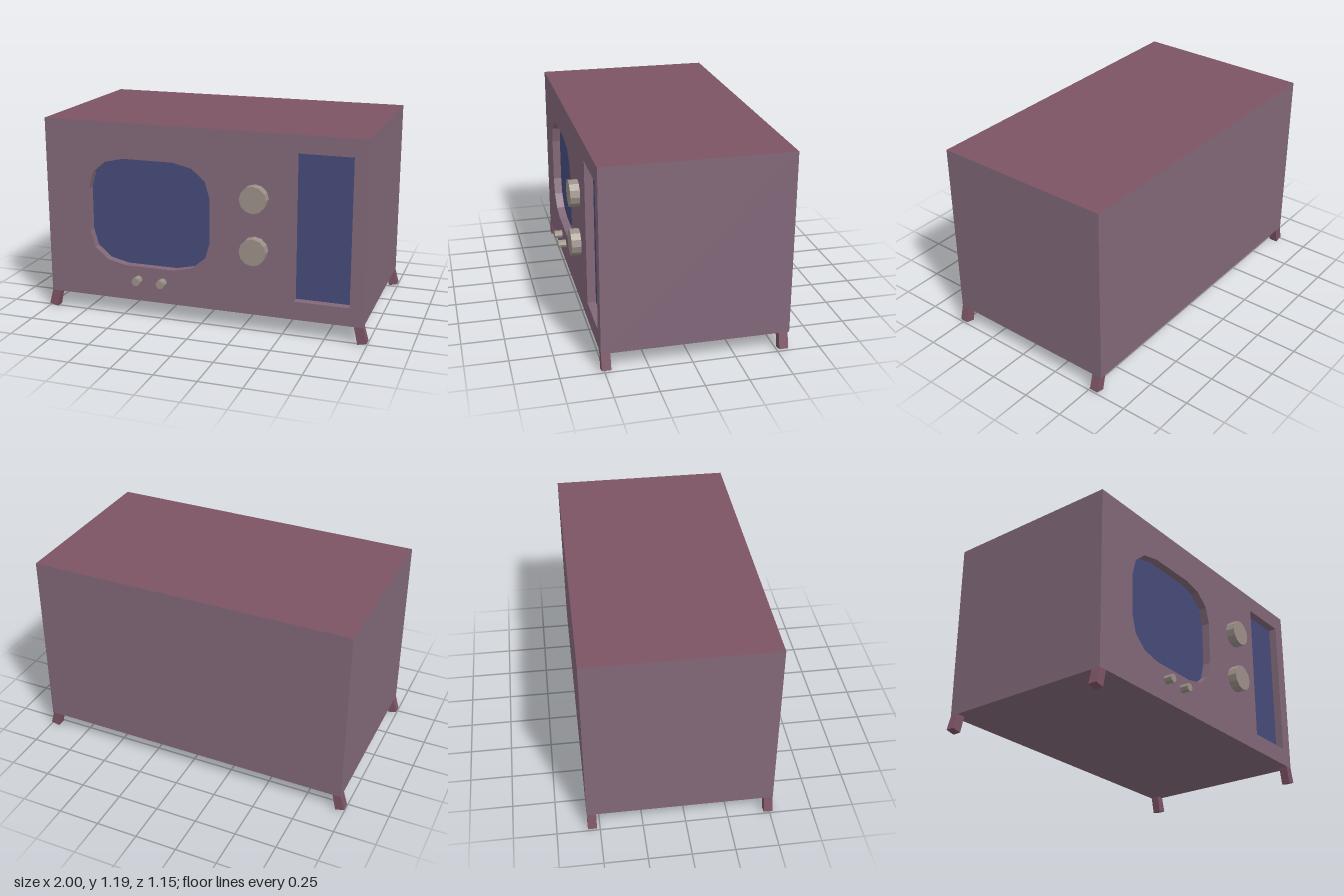
import * as THREE from 'three';

const paint = (color, side = THREE.FrontSide) =>
  new THREE.MeshStandardMaterial({ color, side, flatShading: true });

const W = 0.975, BOTTOM = 0.105, TOP = 1.19, BACK = -0.573, FRONT = 0.517, RECESS = 0.05;

// Keep only the chosen sides of a box (order: +x, -x, +y, -y, +z, -z)
function boxSides(w, h, d, sides) {
  const g = new THREE.BoxGeometry(w, h, d);
  const all = Array.from(g.index.array);
  g.setIndex(sides.flatMap(s => all.slice(s * 6, s * 6 + 6)));
  g.clearGroups();
  return g;
}

// Inner walls of a recess, running back from the outline
function recessWalls(points) {
  const pos = [];
  points.forEach((a, i) => {
    const b = points[(i + 1) % points.length];
    const z = FRONT - RECESS;
    pos.push(a.x, a.y, FRONT, a.x, a.y, z, b.x, b.y, z);
    pos.push(a.x, a.y, FRONT, b.x, b.y, z, b.x, b.y, FRONT);
  });
  const g = new THREE.BufferGeometry();
  g.setAttribute('position', new THREE.Float32BufferAttribute(pos, 3));
  g.computeVertexNormals();
  return g;
}

// Outline around a centre from its upper right quarter, counter-clockwise
function outline(cx, cy, quarter) {
  const rev = [...quarter].reverse();
  const at = (list, sx, sy) => list.map(([x, y]) => new THREE.Vector2(cx + sx * x, cy + sy * y));
  return [...at(quarter, 1, 1), ...at(rev, -1, 1), ...at(quarter, -1, -1), ...at(rev, 1, -1)];
}

export function createModel() {
  const model = new THREE.Group();
  const body = paint(0x826879), wood = paint(0x7c5464);
  const inner = paint(0x826879, THREE.DoubleSide);
  const blue = paint(0x464b7a), knobMat = paint(0x9c9088);

  const add = (name, geometry, material, x = 0, y = 0, z = 0) => {
    const mesh = new THREE.Mesh(geometry, material);
    mesh.name = name;
    mesh.position.set(x, y, z);
    model.add(mesh);
    return mesh;
  };

  // Cabinet: sides, underside and back, with a darker top
  const size = [2 * W, TOP - BOTTOM, FRONT - BACK];
  const centre = [0, (TOP + BOTTOM) / 2, (FRONT + BACK) / 2];
  add('cabinet', boxSides(...size, [0, 1, 3, 5]), body, ...centre);
  add('cabinetTop', boxSides(...size, [2]), wood, ...centre);

  // Front panel with two recessed openings
  const openings = {
    screen: outline(-0.32, 0.648, [[0.381, 0.132], [0.352, 0.232], [0.27, 0.302], [0.155, 0.328]]),
    speaker: outline(0.732, 0.65, [[0.163, 0.435]]),
  };
  const front = new THREE.Shape([
    new THREE.Vector2(-W, BOTTOM), new THREE.Vector2(W, BOTTOM),
    new THREE.Vector2(W, TOP), new THREE.Vector2(-W, TOP),
  ]);
  for (const [name, points] of Object.entries(openings)) {
    front.holes.push(new THREE.Path(points));
    add(name, new THREE.ShapeGeometry(new THREE.Shape(points)), blue, 0, 0, FRONT - RECESS);
    add(name + 'Recess', recessWalls(points), inner);
  }
  add('frontPanel', new THREE.ShapeGeometry(front), body, 0, 0, FRONT);

  // Two dials and two small buttons
  const knob = (name, x, y, r, length, sides) => {
    const g = new THREE.CylinderGeometry(r, r, length, sides).rotateX(Math.PI / 2);
    add(name, g, knobMat, x, y, FRONT + length / 2);
  };
  for (const y of [0.81, 0.502]) knob('dial', 0.335, y, 0.08, 0.057, 12);
  for (const x of [-0.393, -0.237]) knob('button', x, 0.238, 0.026, 0.051, 8);

  // Four splayed legs
  for (const side of [-1, 1]) {
    const corners = [[0.923, BOTTOM], [0.946, 0], [1, 0.013], [0.975, BOTTOM]];
    const shape = new THREE.Shape(corners.map(([x, y]) => new THREE.Vector2(side * x, y)));
    const leg = new THREE.ExtrudeGeometry(shape, { depth: 0.053, bevelEnabled: false });
    add('frontLeg', leg, wood, 0, 0, FRONT - 0.053);
    add('backLeg', leg, wood, 0, 0, side > 0 ? -0.563 : -0.571);
  }
  return model;
}
